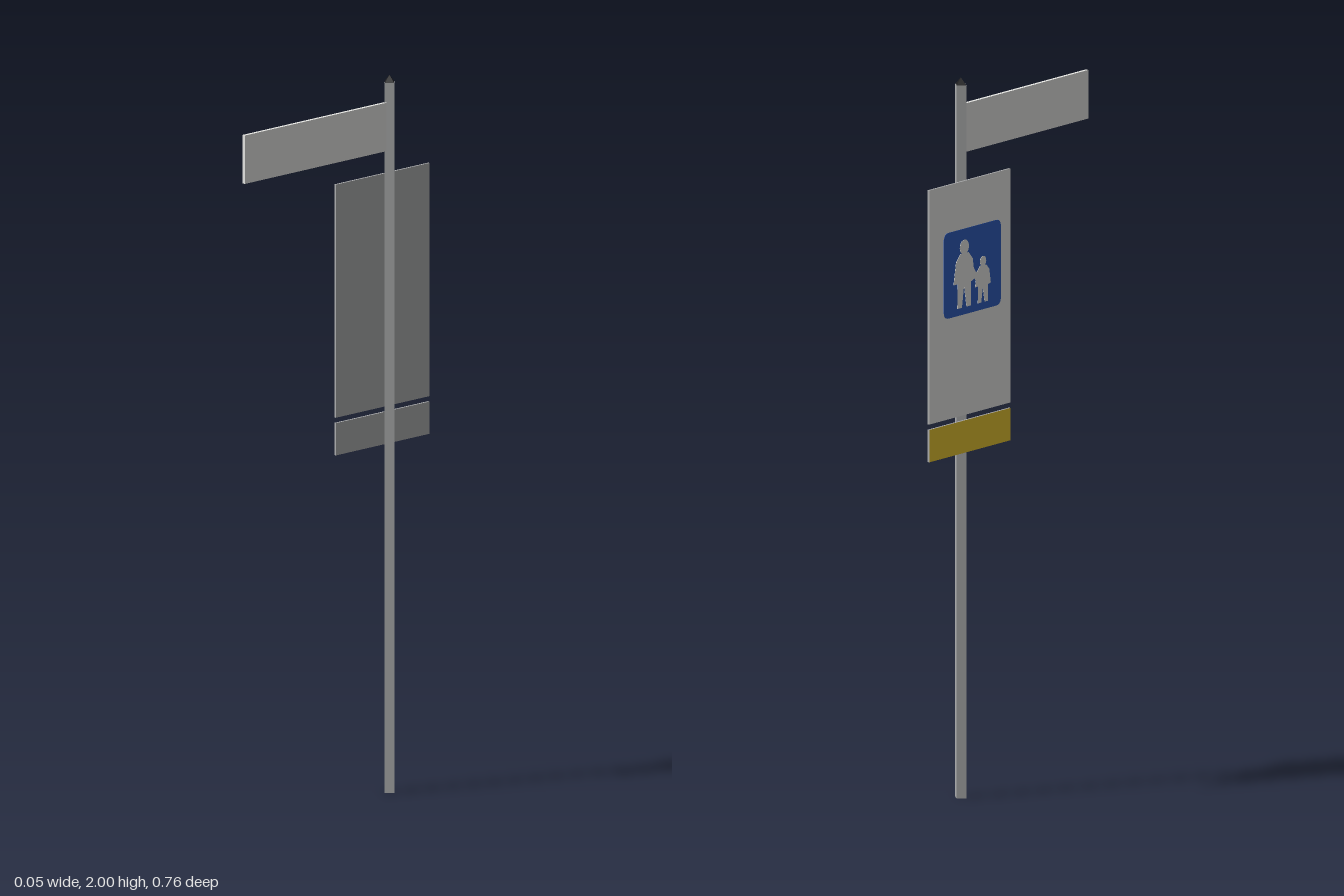
import * as THREE from 'three';

const mat = (name, color) => {
  const m = new THREE.MeshStandardMaterial({ color });
  m.name = name;
  return m;
};

export function createModel() {
  const group = new THREE.Group();
  const steel = mat('steel grey', 0xaeafb0);
  const white = mat('sign white', 0xe7e7e4);
  const blue = mat('sign blue', 0x2e5cbc);
  const yellow = mat('sign yellow', 0xf5d034);
  const black = mat('cap black', 0x1c1c1e);

  const add = (name, geometry, material, x, y, z) => {
    const mesh = new THREE.Mesh(geometry, material);
    mesh.name = name;
    mesh.position.set(x, y, z);
    group.add(mesh);
    return mesh;
  };

  // Square post turned 45 degrees, with a pyramid cap
  const px = 0.005, pz = -0.195;
  const post = new THREE.CylinderGeometry(0.019, 0.019, 1.98, 4).toNonIndexed();
  post.computeVertexNormals();
  add('post', post, steel, px, 0.99, pz);
  const cap = new THREE.ConeGeometry(0.018, 0.02, 4).toNonIndexed();
  cap.computeVertexNormals();
  add('postCap', cap, black, px, 1.99, pz);

  // Blade sign reaching forward from the post
  add('bladeSign', new THREE.BoxGeometry(0.01, 0.135, 0.558), white, px, 1.858, 0.101);

  // Panels behind the post: grey sheet with a coloured face toward -x
  const panel = (name, y0, y1, face) =>
    add(name, new THREE.BoxGeometry(0.006, y1 - y0, 0.37),
      [steel, face, steel, steel, steel, steel], -0.023, (y0 + y1) / 2, pz);
  panel('mainPanel', 1.07, 1.72, white);
  panel('lowerPanel', 0.965, 1.055, yellow);

  // Thin painted plates on the -x face; shape x runs along +z
  const plate = (name, shape, material, x) => {
    const g = new THREE.ExtrudeGeometry(shape, { depth: 0.0008, bevelEnabled: false, curveSegments: 6 });
    g.rotateY(-Math.PI / 2);
    return add(name, g, material, x, 0, 0);
  };

  // Blue rounded square
  const a = -0.315, b = -0.055, c = 1.35, d = 1.588, r = 0.022;
  const badge = new THREE.Shape();
  badge.moveTo(a + r, c);
  badge.lineTo(b - r, c);
  badge.quadraticCurveTo(b, c, b, c + r);
  badge.lineTo(b, d - r);
  badge.quadraticCurveTo(b, d, b - r, d);
  badge.lineTo(a + r, d);
  badge.quadraticCurveTo(a, d, a, d - r);
  badge.lineTo(a, c + r);
  badge.quadraticCurveTo(a, c, a + r, c);
  plate('blueBadge', badge, blue, -0.026);

  // White walking figures: outline in unit height, feet at 0
  const outline = [
    [-0.17, 0], [-0.06, 0], [-0.01, 0.32], [0.05, 0], [0.16, 0], [0.15, 0.35],
    [0.25, 0.38], [0.2, 0.68], [0.1, 0.79], [-0.1, 0.79], [-0.2, 0.68], [-0.26, 0.36], [-0.16, 0.36],
  ];
  const figure = (name, z, y, h, w) => {
    const body = new THREE.Shape(outline.map(([u, v]) => new THREE.Vector2(z + u * w, y + v * h)));
    plate(name + 'Body', body, white, -0.0268);
    const head = new THREE.Shape();
    head.absarc(z, y + h * 0.88, h * 0.11, 0, Math.PI * 2);
    plate(name + 'Head', head, white, -0.0268);
  };
  figure('adult', -0.222, 1.37, 0.19, 0.19);
  figure('child', -0.137, 1.37, 0.13, 0.14);

  // Joined hands between the figures
  const arm = new THREE.Shape([[-0.19, 1.485], [-0.185, 1.46], [-0.165, 1.425], [-0.145, 1.44], [-0.15, 1.455], [-0.17, 1.46]]
    .map(([u, v]) => new THREE.Vector2(u, v)));
  plate('joinedArms', arm, white, -0.0268);

  return group;
}
